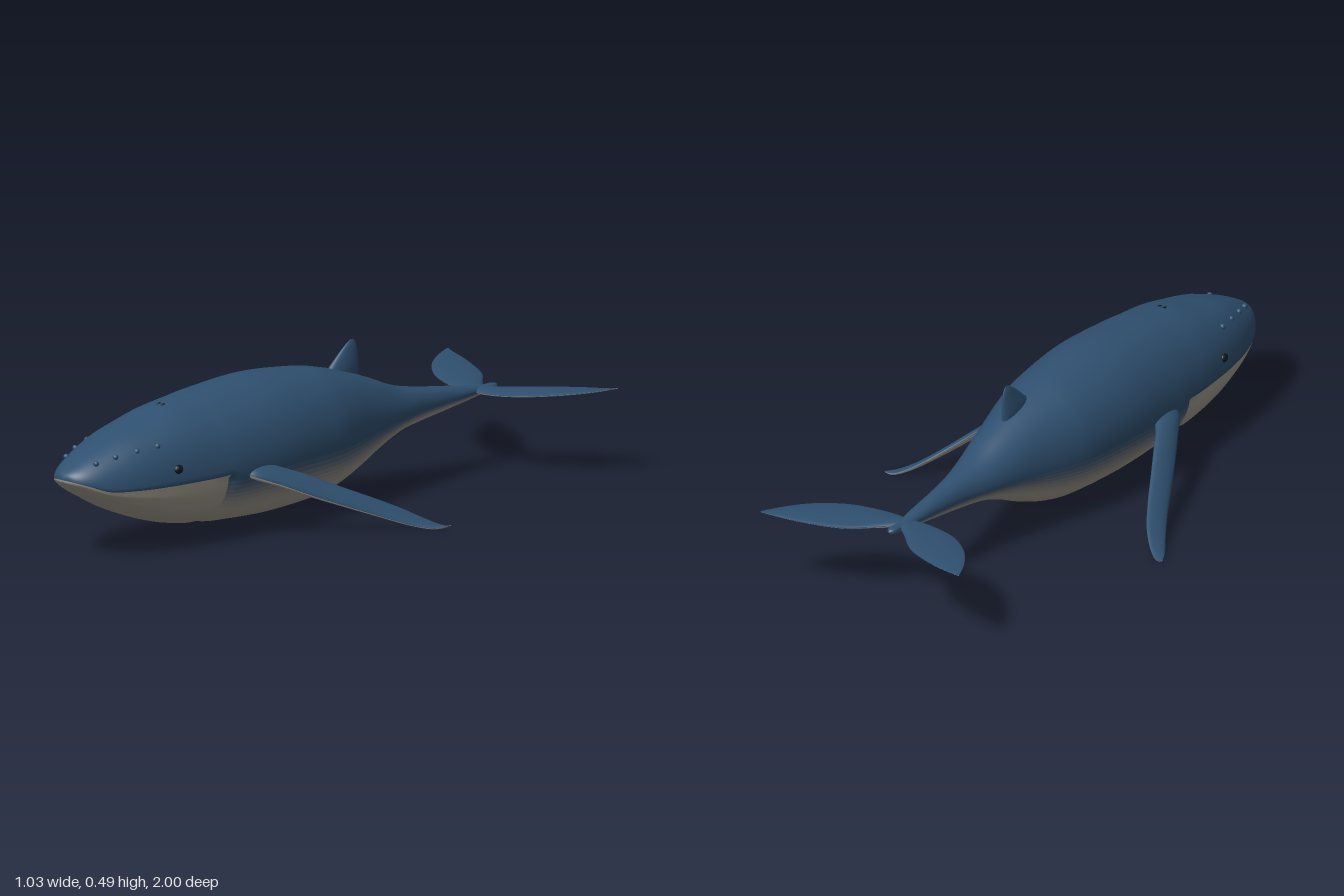
import * as THREE from 'three';

const BLUE = new THREE.Color(0x2f5070);
const PALE = new THREE.Color(0xa39c90);
const DARK = new THREE.Color(0x11161c);
const { smoothstep } = THREE.MathUtils;

// Smooth interpolation through rows of numbers, n steps between rows
function smoothRows(rows, n) {
  const out = [];
  const row = i => rows[Math.min(Math.max(i, 0), rows.length - 1)];
  for (let i = 0; i < rows.length - 1; i++) {
    for (let k = 0; k < n; k++) {
      const t = k / n;
      out.push(rows[i].map((p1, c) => {
        const p0 = row(i - 1)[c], p2 = row(i + 1)[c], p3 = row(i + 2)[c];
        const m1 = (p2 - p0) / 2, m2 = (p3 - p1) / 2;
        return p1 + m1 * t + (3 * (p2 - p1) - 2 * m1 - m2) * t * t + (2 * (p1 - p2) + m1 + m2) * t ** 3;
      }));
    }
  }
  out.push(rows[rows.length - 1]);
  return out;
}

// Lofts closed rings; segments around are split into one mesh per shade,
// all sharing the same normals so the surface stays smooth across shades
function skin(name, rings, shadeOf, skip = () => false) {
  const m = rings[0].length;
  const geo = new THREE.BufferGeometry().setFromPoints(rings.flat());
  const all = [], bands = new Map();
  for (let j = 0; j < m; j++) {
    if (skip(j)) continue;
    const { part, color } = shadeOf(j);
    if (!bands.has(part)) bands.set(part, { color, index: [] });
    const idx = bands.get(part).index;
    for (let i = 0; i < rings.length - 1; i++) {
      const a = i * m + j, c = i * m + (j + 1) % m, b = a + m, d = c + m;
      idx.push(a, b, c, c, b, d);
      all.push(a, b, c, c, b, d);
    }
  }
  geo.setIndex(all);
  geo.computeVertexNormals();
  const group = new THREE.Group();
  group.name = name;
  for (const [part, { color, index }] of bands) {
    const g = new THREE.BufferGeometry();
    g.setAttribute('position', geo.attributes.position);
    g.setAttribute('normal', geo.attributes.normal);
    g.setIndex(index);
    const mesh = new THREE.Mesh(g, new THREE.MeshStandardMaterial({ color, side: THREE.DoubleSide }));
    mesh.name = part;
    group.add(mesh);
  }
  return group;
}

// Body stations: z, top, mouth / middle line, bottom, half width
const BODY = smoothRows([
  [1.0, 0.262, 0.257, 0.253, 0.0], [0.99, 0.278, 0.254, 0.242, 0.04], [0.96, 0.298, 0.243, 0.222, 0.077],
  [0.9, 0.328, 0.222, 0.185, 0.115], [0.8, 0.368, 0.217, 0.13, 0.15], [0.7, 0.395, 0.216, 0.09, 0.17],
  [0.6, 0.422, 0.216, 0.06, 0.182], [0.5, 0.438, 0.217, 0.043, 0.19], [0.4, 0.45, 0.225, 0.034, 0.195],
  [0.2, 0.462, 0.24, 0.025, 0.195], [0, 0.445, 0.242, 0.035, 0.177], [-0.1, 0.425, 0.242, 0.053, 0.155],
  [-0.2, 0.397, 0.242, 0.09, 0.126], [-0.3, 0.36, 0.242, 0.138, 0.1], [-0.4, 0.32, 0.242, 0.175, 0.075],
  [-0.5, 0.298, 0.242, 0.19, 0.05], [-0.6, 0.283, 0.243, 0.203, 0.036], [-0.7, 0.268, 0.244, 0.218, 0.027],
  [-0.78, 0.257, 0.246, 0.23, 0.016], [-0.83, 0.256, 0.247, 0.238, 0.014], [-0.845, 0.248, 0.247, 0.246, 0.0],
], 6);
const SEG = 80;

function bodyRing([z, top, mid, bottom, width], underScale) {
  const power = 1 - 0.2 * smoothstep(z, 0.45, 0.75); // blunter head
  return Array.from({ length: SEG }, (_, j) => {
    const a = j / SEG * Math.PI * 2, c = Math.cos(a), s = Math.sin(a);
    const below = j > SEG / 2;
    const k = below ? underScale(a, z) : 1;
    const x = Math.sign(c) * Math.abs(c) ** power * width * k;
    return new THREE.Vector3(x, mid + s * k * (below ? mid - bottom : top - mid), z);
  });
}

// Blue back fading through narrow bands into the pale belly
function bodyShade(j) {
  if (j < SEG / 2) return { part: 'back', color: BLUE };
  const d = Math.min(j - SEG / 2, SEG - 1 - j);
  const t = smoothstep((d + 0.5) / SEG * Math.PI * 2, 0.1, 0.8);
  if (t === 1) return { part: 'belly', color: PALE };
  return { part: `flankBand${d}`, color: BLUE.clone().lerp(PALE, t) };
}

function makeBody() {
  const under = (a, z) => 1 - 0.06 * smoothstep(z, 0.43, 0.475);
  return skin('body', BODY.map(r => bodyRing(r, under)), bodyShade);
}

// Pleated lower jaw, a shell over the underside of the head
function makeJaw() {
  const under = (a, z) => 0.992 + 0.004 * Math.cos(a * 20) * smoothstep(z, 0.48, 0.6)
    - 0.05 * (1 - smoothstep(z, 0.46, 0.52));
  const rings = BODY.filter(r => r[0] > 0.46).map(r => bodyRing(r, under));
  return skin('lowerJaw', rings, () => ({ part: 'jawShell', color: PALE }), j => j < SEG / 2);
}

// Fin stations: span, offset, leading z, trailing z, half thickness
function makeFin(name, rows, place, reverse, underside) {
  const n = 24;
  const rings = smoothRows(rows, 5).map(([span, off, lead, trail, thick]) =>
    Array.from({ length: n }, (_, j) => {
      const a = j / n * Math.PI * 2;
      const z = (lead + trail) / 2 + (lead - trail) / 2 * Math.cos(a);
      return place(span, off + thick * Math.sin(a), z);
    }));
  if (reverse) rings.reverse();
  return skin(name, rings, j => underside && j >= n / 2
    ? { part: 'finUnderside', color: PALE } : { part: 'finUpper', color: BLUE });
}

const FLIPPER = [
  [0.14, 0.215, 0.41, 0.31, 0.022], [0.2, 0.201, 0.39, 0.265, 0.022], [0.25, 0.17, 0.315, 0.185, 0.02],
  [0.3, 0.13, 0.23, 0.1, 0.018], [0.35, 0.092, 0.14, 0.015, 0.015], [0.4, 0.055, 0.05, -0.06, 0.012],
  [0.45, 0.023, -0.03, -0.112, 0.009], [0.49, 0.008, -0.09, -0.14, 0.006], [0.515, 0.012, -0.137, -0.146, 0.001],
];
const FLUKE = [
  [0, 0.246, -0.74, -0.79, 0.011], [0.05, 0.246, -0.733, -0.835, 0.011], [0.12, 0.249, -0.743, -0.902, 0.01],
  [0.2, 0.255, -0.775, -0.945, 0.009], [0.28, 0.262, -0.842, -0.975, 0.007], [0.335, 0.267, -0.92, -0.99, 0.004],
  [0.368, 0.272, -0.992, -1.0, 0.001],
];
const DORSAL = [
  [0.36, 0, -0.08, -0.25, 0.022], [0.41, 0, -0.125, -0.253, 0.019], [0.45, 0, -0.168, -0.252, 0.012],
  [0.475, 0, -0.198, -0.246, 0.007], [0.492, 0, -0.222, -0.236, 0.001],
];

function bead(name, x, y, z, r, color, sx = 1, sy = 1, sz = 1) {
  const mesh = new THREE.Mesh(new THREE.SphereGeometry(r, 16, 12), new THREE.MeshStandardMaterial({ color }));
  mesh.name = name;
  mesh.position.set(x, y, z);
  mesh.scale.set(sx, sy, sz);
  return mesh;
}

export function createModel() {
  const whale = new THREE.Group();
  whale.name = 'whale';
  whale.add(makeBody(), makeJaw());
  whale.add(makeFin('dorsalFin', DORSAL, (s, o, z) => new THREE.Vector3(-o, s, z), false, false));

  for (const s of [1, -1]) {
    const side = s > 0 ? 'left' : 'right';
    const place = (span, off, z) => new THREE.Vector3(s * span, off, z);
    whale.add(makeFin(`${side}Flipper`, FLIPPER, place, s < 0, true));
    whale.add(makeFin(`${side}Fluke`, FLUKE, place, s < 0, true));
    whale.add(bead(`${side}Eye`, s * 0.166, 0.264, 0.67, 0.017, DARK, 0.7, 0.85, 1));
    whale.add(bead(`${side}Blowhole`, s * 0.009, 0.424, 0.58, 0.008, DARK, 0.8, 0.5, 1.2));
    // Row of knobs along the snout
    for (const [x, y, z] of [[0.126, 0.338, 0.72], [0.108, 0.33, 0.79], [0.087, 0.32, 0.86], [0.065, 0.306, 0.92]]) {
      whale.add(bead(`${side}Knob`, s * x, y, z, 0.009, BLUE));
    }
  }
  return whale;
}
